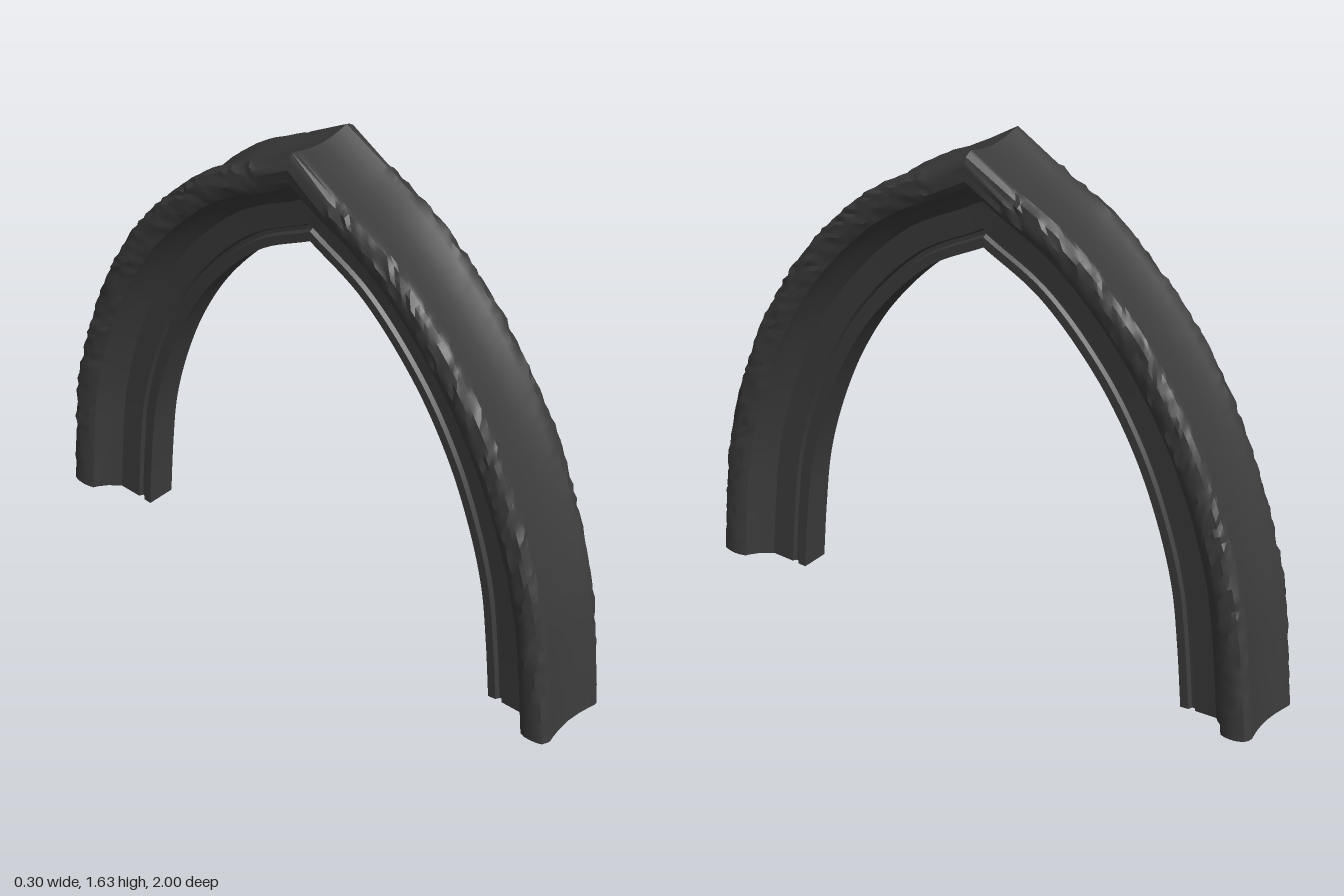
import * as THREE from 'three';
import { toCreasedNormals } from 'three/addons/utils/BufferGeometryUtils.js';

const STEPS = 80;      // stations on each side of the apex
const APEX_SCALE = 1.143; // mitre stretch at the apex

// repeatable value in 0..1 for a pair of integers
function chip(i, j) {
  const s = Math.sin(i * 127.1 + j * 311.7) * 43758.5453;
  return s - Math.floor(s);
}

// half section as [depth outward from the inner edge, half width, roughness]
const HALF = [
  [0, 0.05, 0], [0.028, 0.05, 0], [0.034, 0.037, 0], [0.046, 0.037, 0],
  [0.052, 0.05, 0], [0.128, 0.055, 0], [0.14, 0.068, 0], [0.16, 0.085, 0],
  [0.18, 0.115, 0], [0.187, 0.13, 0.3], [0.205, 0.137, 0.8], [0.222, 0.14, 1],
  [0.24, 0.14, 1], [0.255, 0.138, 1], [0.269, 0.132, 1], [0.279, 0.118, 0.8],
  [0.28, 0.106, 0.4], [0.275, 0.085, 0.15], [0.268, 0.05, 0], [0.264, 0, 0],
];

// stations from the front foot over the apex to the back foot
function archStations() {
  const curve = new THREE.CatmullRomCurve3([
    [0.72, 0], [0.702, 0.2], [0.675, 0.4], [0.617, 0.6], [0.53, 0.8],
    [0.4, 1.0], [0.2, 1.2], [0, 1.31],
  ].map(([z, y]) => new THREE.Vector3(0, y, z)));
  const half = [];
  for (let i = 0; i < STEPS; i++) {
    const u = i / STEPS;
    const p = curve.getPointAt(u), t = curve.getTangentAt(u);
    half.push({ y: p.y, z: p.z, ny: -t.z, nz: t.y });
  }
  const apex = { y: 1.31, z: 0, ny: APEX_SCALE, nz: 0 };
  const back = half.map(s => ({ ...s, z: -s.z, nz: -s.nz })).reverse();
  return [...half, apex, ...back];
}

// sweep the moulded section along the arch
function mouldedArch() {
  const loop = [
    ...HALF,
    ...HALF.slice(0, -1).reverse().map(([d, w, r]) => [d, -w, r]),
  ];
  const stations = archStations();
  const n = loop.length, last = stations.length - 1;
  const pos = [], index = [];

  stations.forEach((s, i) => {
    // the feet are cleanly cut, the rest of the outer edges are chipped
    const wear = Math.min(1, 0.25 + Math.min(i, last - i) / 25);
    loop.forEach(([d, w, r], j) => {
      const noise = chip(i, j) * 0.6 + chip(i >> 2, j + 50) * 0.4 - 0.55;
      const x = w + Math.sign(w) * r * wear * (noise * 0.012 + 0.003);
      const depth = d + (d > 0.25 ? r * wear * noise * 0.012 : 0);
      pos.push(x, s.y + s.ny * depth, s.z + s.nz * depth);
    });
  });

  for (let i = 0; i < last; i++) {
    for (let j = 0; j < n; j++) {
      const k = (j + 1) % n;
      const a = i * n + j, b = i * n + k, c = a + n, e = b + n;
      index.push(a, c, b, b, c, e);
    }
  }

  // flat cut faces at both feet
  const outline = loop.map(([d, w]) => new THREE.Vector2(w, d));
  for (const [a, b, c] of THREE.ShapeUtils.triangulateShape(outline, [])) {
    index.push(a, b, c);
    index.push(last * n + a, last * n + c, last * n + b);
  }

  const geometry = new THREE.BufferGeometry();
  geometry.setAttribute('position', new THREE.Float32BufferAttribute(pos, 3));
  geometry.setIndex(index);
  return toCreasedNormals(geometry, 0.5);
}

export function createModel() {
  const group = new THREE.Group();
  group.name = 'pointedArch';
  const stone = new THREE.MeshStandardMaterial({ color: 0x3c3c3c });
  const arch = new THREE.Mesh(mouldedArch(), stone);
  arch.name = 'mouldedArchRib';
  group.add(arch);
  return group;
}
